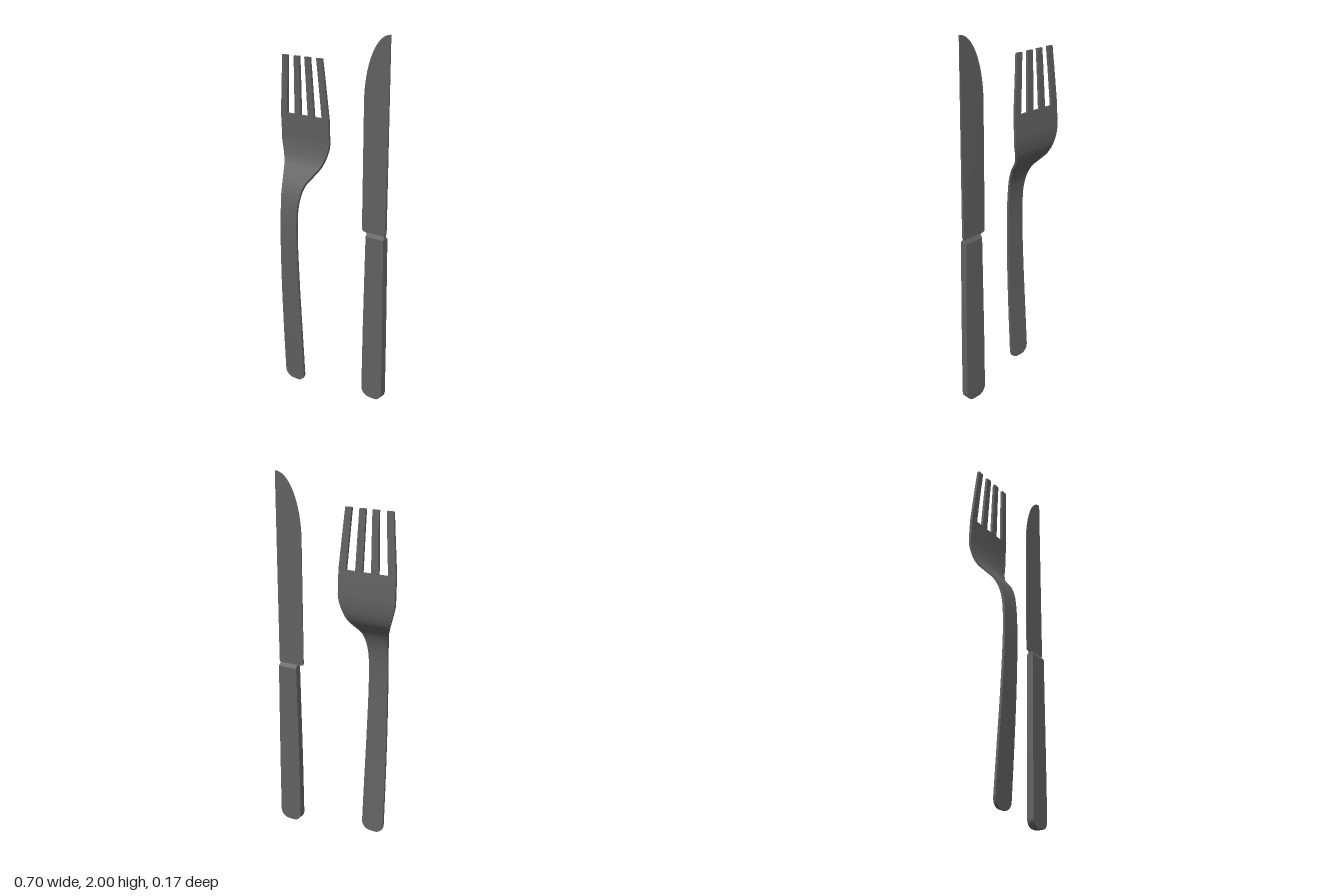
import * as THREE from 'three';

const steel = new THREE.MeshStandardMaterial({ color: 0x626262 });
steel.name = 'dark steel';

// Sweeps a four-sided section upward. Row: [y, left x, right x, z, left half thickness, right half thickness]
function sweep(name, rows) {
  const position = [], index = [];
  const rings = rows.map(([y, xl, xr, z, hl, hr = hl], i) => {
    const p = rows[Math.max(i - 1, 0)], n = rows[Math.min(i + 1, rows.length - 1)];
    const dy = n[0] - p[0], dz = n[3] - p[3], len = Math.hypot(dy, dz);
    const ny = -dz / len, nz = dy / len;
    return [[xl, hl], [xr, hr], [xr, -hr], [xl, -hl]].map(([x, h]) => [x, y + ny * h, z + nz * h]);
  });
  // each side has its own vertices, so long edges stay sharp
  for (let s = 0; s < 4; s++) {
    const base = position.length / 3;
    rings.forEach((r) => position.push(...r[s], ...r[(s + 1) % 4]));
    for (let i = 0; i < rings.length - 1; i++) {
      const a = base + i * 2;
      index.push(a, a + 1, a + 3, a, a + 3, a + 2);
    }
  }
  // end caps
  for (const ring of [[...rings[0]].reverse(), rings[rings.length - 1]]) {
    const b = position.length / 3;
    ring.forEach((c) => position.push(...c));
    index.push(b, b + 1, b + 2, b, b + 2, b + 3);
  }
  const geometry = new THREE.BufferGeometry();
  geometry.setAttribute('position', new THREE.Float32BufferAttribute(position, 3));
  geometry.setIndex(index);
  geometry.computeVertexNormals();
  const mesh = new THREE.Mesh(geometry, steel);
  mesh.name = name;
  return mesh;
}

// Half widths of a rounded handle end: pairs of [y, half width]
function roundedEnd(halfWidth, radius) {
  const out = [];
  for (let i = 0; i < 8; i++) {
    const a = (i / 8) * Math.PI / 2;
    out.push([radius * (1 - Math.cos(a)), halfWidth - radius * (1 - Math.sin(a))]);
  }
  return out;
}

function createFork() {
  const fork = new THREE.Group();
  fork.name = 'fork';
  const h = 0.007;

  // handle, neck and palm follow one smooth curve of (half width, y, z)
  const curve = new THREE.CatmullRomCurve3([
    [0.066, 0.05, 0.04], [0.064, 0.3, 0.055], [0.06, 0.6, 0.071], [0.056, 0.85, 0.079],
    [0.055, 0.97, 0.078], [0.056, 1.06, 0.072], [0.063, 1.13, 0.058], [0.076, 1.19, 0.031],
    [0.1, 1.235, -0.008], [0.122, 1.275, -0.042], [0.14, 1.32, -0.061], [0.159, 1.39, -0.071],
    [0.16, 1.46, -0.07], [0.16, 1.54, -0.066],
  ].map((p) => new THREE.Vector3(...p)), false, 'centripetal');
  const rows = roundedEnd(0.066, 0.05).map(([y, w]) => [y, -w, w, 0.037 + y * 0.06, h]);
  for (let i = 0; i <= 78; i++) {
    const p = curve.getPoint(i / 78);
    rows.push([p.y, -p.x, p.x, p.z, h]);
  }
  fork.add(sweep('forkHandleAndPalm', rows));

  // four tines, leaning inward; [inner, outer] at root and tip
  const tines = [[0.024, 0.065, 0.018, 0.053], [0.117, 0.16, 0.095, 0.131]];
  for (const [ri, ro, ti, to] of tines) {
    for (const side of [-1, 1]) {
      const tine = [[1.54, -0.066], [1.64, -0.061], [1.74, -0.056], [1.853, -0.049]].map(([y, z]) => {
        const t = (y - 1.54) / 0.313;
        const a = side * THREE.MathUtils.lerp(ri, ti, t), b = side * THREE.MathUtils.lerp(ro, to, t);
        return [y, Math.min(a, b), Math.max(a, b), z, h];
      });
      fork.add(sweep('tine', tine));
    }
  }
  fork.position.x = -0.19;
  return fork;
}

function createKnife() {
  const knife = new THREE.Group();
  knife.name = 'knife';
  const z = -0.068;

  // handle with rounded end
  const handle = roundedEnd(0.066, 0.05).map(([y, w]) => [y, 0.281 - w, 0.281 + w, z, 0.02]);
  handle.push([0.05, 0.215, 0.347, z, 0.02], [0.4, 0.217, 0.344, z, 0.02], [0.955, 0.225, 0.336, z, 0.02]);
  knife.add(sweep('knifeHandle', handle));

  // sloped shoulder between handle and blade
  knife.add(sweep('shoulder', [[0.955, 0.225, 0.336, z, 0.02], [0.974, 0.225, 0.33, z, 0.008]]));

  // blade: thick spine, thin cutting edge, curved tip
  const blade = [
    [0.968, 0.224, 0.33, z, 0.004, 0.008],
    [0.976, 0.193, 0.334, z, 0.002, 0.008],
    [0.985, 0.189, 0.338, z, 0.002, 0.008],
  ];
  for (let i = 0; i <= 16; i++) {
    const a = (i / 16) * Math.PI / 2;
    const y = 1.66 + 0.34 * Math.sin(a);
    const spine = 0.008 - 0.006 * (y - 0.985) / 1.015;
    blade.push([y, Math.min(0.338 - 0.149 * Math.cos(a), 0.337), 0.338, z, 0.002, spine]);
  }
  knife.add(sweep('blade', blade));
  return knife;
}

export function createModel() {
  const model = new THREE.Group();
  model.name = 'cutlery';
  model.add(createFork(), createKnife());
  return model;
}
